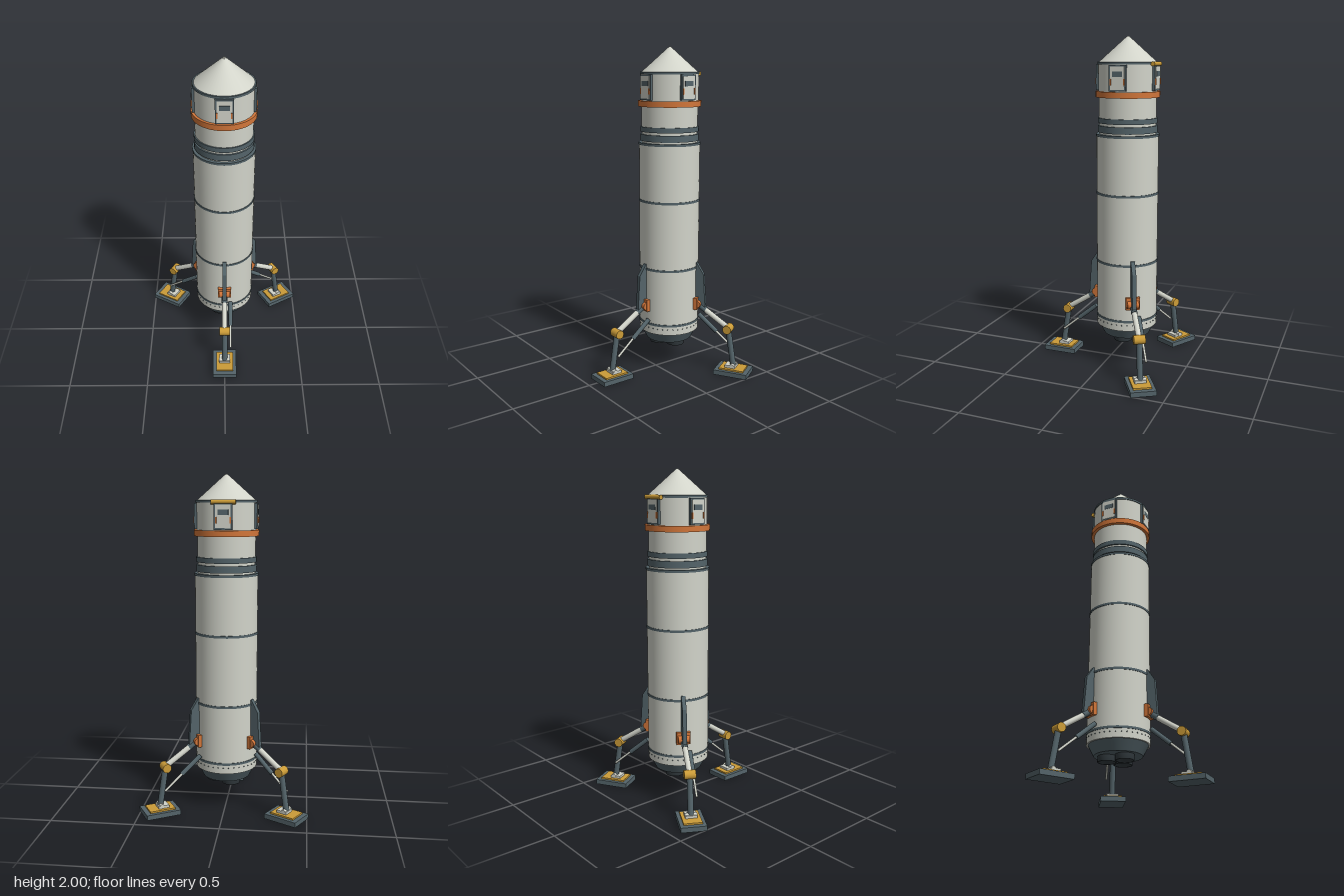
import * as THREE from 'three';

const mat = (name, color) => {
  const m = new THREE.MeshStandardMaterial({ color });
  m.name = name;
  return m;
};

export function createModel() {
  const light = mat('hull light grey', 0xd2d4ca);
  const dark = mat('slate grey', 0x54646a);
  const orange = mat('orange', 0xd2763a);
  const yellow = mat('ochre yellow', 0xcc9c38);
  const black = mat('nozzle black', 0x30383c);

  const model = new THREE.Group();
  model.name = 'rocketLander';
  const rocket = new THREE.Group();
  rocket.name = 'rocket';
  rocket.position.z = -0.105;
  model.add(rocket);

  const add = (parent, name, geo, material, x = 0, y = 0, z = 0) => {
    const m = new THREE.Mesh(geo, material);
    m.name = name;
    m.position.set(x, y, z);
    parent.add(m);
    return m;
  };
  const box = (parent, name, material, w, h, d, x, y, z) =>
    add(parent, name, new THREE.BoxGeometry(w, h, d), material, x, y, z);
  // Upright drum between two heights
  const drum = (name, material, y0, y1, r0, r1 = r0) =>
    add(rocket, name, new THREE.CylinderGeometry(r1, r0, y1 - y0, 48), material, 0, (y0 + y1) / 2, 0);
  // Rod between two points
  const rod = (parent, name, material, a, b, r0, r1 = r0) => {
    const p = new THREE.Vector3(...a), q = new THREE.Vector3(...b);
    const d = q.clone().sub(p);
    const m = add(parent, name, new THREE.CylinderGeometry(r1, r0, d.length(), 16), material);
    m.position.copy(p).add(q).multiplyScalar(0.5);
    m.quaternion.setFromUnitVectors(new THREE.Vector3(0, 1, 0), d.normalize());
    return m;
  };

  // Hull, stages and nose
  drum('engineSkirt', dark, 0.187, 0.252, 0.143, 0.177);
  drum('mainTank', light, 0.25, 1.43, 0.186);
  drum('tankShoulder', light, 1.43, 1.447, 0.17);
  drum('lowerCoupling', dark, 1.445, 1.485, 0.178);
  drum('couplingGap', light, 1.485, 1.502, 0.168);
  drum('upperCoupling', dark, 1.5, 1.53, 0.178);
  drum('neck', light, 1.53, 1.66, 0.171);
  drum('orangeCollar', orange, 1.65, 1.685, 0.191);
  drum('cabin', light, 1.68, 1.85, 0.175);
  drum('noseCone', light, 1.85, 1.995, 0.175, 0.012);
  drum('noseTip', light, 1.99, 2.0, 0.012, 0.008);
  for (const [y, r] of [[0.31, 0.189], [0.66, 0.189], [1.08, 0.189], [1.428, 0.189], [1.847, 0.179]])
    drum('seamRing', dark, y - 0.007, y + 0.007, r);

  // Rivets round the base of the tank
  for (let i = 0; i < 36; i++) {
    const a = (i / 36) * Math.PI * 2;
    add(rocket, 'rivet', new THREE.SphereGeometry(0.0035, 8, 6), dark,
      Math.sin(a) * 0.186, 0.285, Math.cos(a) * 0.186);
  }

  // Three open nozzles
  const nozzle = [[0.001, 0.185], [0.03, 0.185], [0.048, 0.152], [0.055, 0.152], [0.055, 0.192]]
    .map(([r, y]) => new THREE.Vector2(r, y));
  const nozzleMat = black;
  nozzleMat.side = THREE.DoubleSide;
  for (let i = 0; i < 3; i++) {
    const a = Math.PI / 2 + (i * Math.PI * 2) / 3;
    add(rocket, 'nozzle', new THREE.LatheGeometry(nozzle, 24), nozzleMat,
      Math.sin(a) * 0.065, 0, Math.cos(a) * 0.065);
  }

  // Four cabin doors
  for (let i = 0; i < 4; i++) {
    const door = new THREE.Group();
    door.name = 'door';
    door.rotation.y = (i * Math.PI) / 2;
    rocket.add(door);
    box(door, 'doorFrame', dark, 0.104, 0.148, 0.026, 0, 1.764, 0.169);
    box(door, 'doorPanel', light, 0.086, 0.13, 0.004, 0, 1.764, 0.183);
    box(door, 'doorWindow', dark, 0.06, 0.03, 0.004, 0, 1.787, 0.1845);
    for (const s of [-1, 1])
      box(door, 'doorLatch', orange, 0.008, 0.036, 0.01, s * 0.041, 1.742, 0.183);
  }
  rod(rocket, 'backHandrail', yellow, [-0.07, 1.843, -0.174], [0.07, 1.843, -0.174], 0.013);

  // Fin outline: x is distance from the axis
  const fin = new THREE.Shape([[0.18, 0.69], [0.19, 0.69], [0.235, 0.62], [0.25, 0.4], [0.18, 0.44]]
    .map(([x, y]) => new THREE.Vector2(x, y)));
  const finGeo = new THREE.ExtrudeGeometry(fin, { depth: 0.025, bevelEnabled: false });
  finGeo.translate(0, 0, -0.0125);
  finGeo.rotateY(-Math.PI / 2);

  // Three landing legs, each built facing the front
  for (let i = 0; i < 3; i++) {
    const leg = new THREE.Group();
    leg.name = 'landingLeg';
    leg.rotation.y = (i * Math.PI * 2) / 3;
    rocket.add(leg);
    add(leg, 'fin', finGeo, dark);
    box(leg, 'hipBracket', orange, 0.084, 0.075, 0.03, 0, 0.43, 0.189);
    rod(leg, 'hipPivot', orange, [-0.035, 0.425, 0.2], [0.035, 0.425, 0.2], 0.024);
    rod(leg, 'hipSleeve', dark, [0, 0.42, 0.2], [0, 0.388, 0.25], 0.019);
    rod(leg, 'upperLeg', light, [0, 0.415, 0.205], [0, 0.29, 0.4], 0.017);
    rod(leg, 'knee', yellow, [-0.034, 0.285, 0.4], [0.034, 0.285, 0.4], 0.027);
    rod(leg, 'lowerLeg', dark, [0, 0.285, 0.4], [0, 0.05, 0.437], 0.018);
    rod(leg, 'damper', dark, [0.039, 0.34, 0.19], [0.039, 0.24, 0.31], 0.014);
    rod(leg, 'damperPiston', light, [0.039, 0.245, 0.305], [0.039, 0.15, 0.418], 0.007);
    box(leg, 'ankleBlock', light, 0.07, 0.02, 0.065, 0, 0.046, 0.425);
    rod(leg, 'anklePin', light, [-0.036, 0.052, 0.437], [0.036, 0.052, 0.437], 0.014);
    box(leg, 'footPlate', yellow, 0.11, 0.012, 0.155, 0, 0.034, 0.438);
    box(leg, 'footPad', dark, 0.153, 0.03, 0.212, 0, 0.015, 0.438);
  }
  return model;
}
